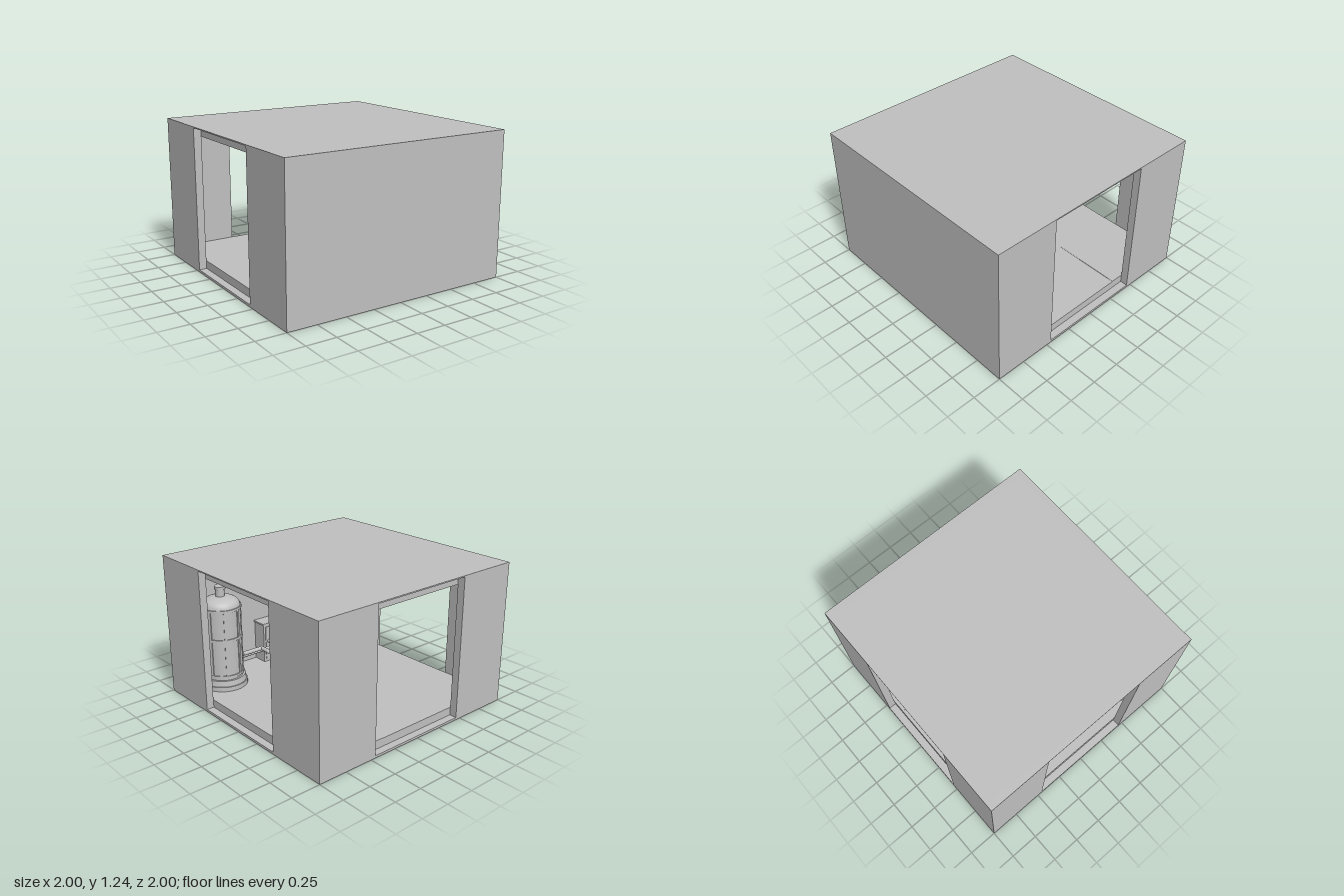
import * as THREE from 'three';

export function createModel() {
  const root = new THREE.Group();
  const grey = new THREE.MeshStandardMaterial({ color: 0xc0c0c0 });
  grey.name = 'plain grey';

  const H = 1.235, T = 0.065, FLOOR = 0.09, CEIL = 1.15, IN = 1 - T;

  function add(name, geo, x = 0, y = 0, z = 0, parent = root) {
    const m = new THREE.Mesh(geo, grey);
    m.name = name;
    m.position.set(x, y, z);
    parent.add(m);
    return m;
  }
  // box given by its minimum and maximum corners
  function block(name, x0, y0, z0, x1, y1, z1, parent = root) {
    return add(name, new THREE.BoxGeometry(x1 - x0, y1 - y0, z1 - z0),
      (x0 + x1) / 2, (y0 + y1) / 2, (z0 + z1) / 2, parent);
  }
  function rect(C, x0, y0, x1, y1) {
    const s = new C();
    s.moveTo(x0, y0); s.lineTo(x1, y0); s.lineTo(x1, y1); s.lineTo(x0, y1);
    s.closePath();
    return s;
  }
  // round pipe through straight segments
  function pipe(name, points, r, parent = root) {
    const path = new THREE.CurvePath();
    const v = points.map(p => new THREE.Vector3(...p));
    for (let i = 1; i < v.length; i++) {
      path.add(new THREE.LineCurve3(v[i - 1], v[i]));
      const len = v[i].distanceTo(v[i - 1]);
      const m = add(name, new THREE.CylinderGeometry(r, r, len, 16), 0, 0, 0, parent);
      m.position.copy(v[i]).add(v[i - 1]).multiplyScalar(0.5);
      m.quaternion.setFromUnitVectors(new THREE.Vector3(0, 1, 0), v[i].clone().sub(v[i - 1]).normalize());
      if (i < v.length - 1) add(name + 'Elbow', new THREE.SphereGeometry(r * 1.1, 14, 10), ...points[i], parent);
    }
  }

  // walls: solid front, and a tall opening in the back and both sides
  block('frontWall', -1, 0, IN, 1, H, 1);
  function openWall(name, half) {
    const s = rect(THREE.Shape, -half, 0, half, H);
    s.holes.push(rect(THREE.Path, -0.455, 0.02, 0.455, 1.225));
    return add(name, new THREE.ExtrudeGeometry(s, { depth: T, bevelEnabled: false }));
  }
  openWall('backWall', 1).position.z = -1;
  for (const s of [-1, 1]) {
    const w = openWall(s > 0 ? 'leftWall' : 'rightWall', IN);
    w.rotation.y = Math.PI / 2;
    w.position.x = s > 0 ? IN : -1;
  }

  // floor, ceiling and the raised floor plate in the back corner
  block('floor', -IN, 0, -IN, IN, FLOOR, IN);
  block('ceiling', -IN, CEIL, -IN, IN, H, IN);
  block('floorPlate', 0.334, FLOOR, -IN, IN, FLOOR + 0.003, -0.34);

  // framed ceiling lights
  function light(x0, z0, x1, z1) {
    const g = new THREE.Group();
    g.name = 'ceilingLight';
    const s = rect(THREE.Shape, x0, z0, x1, z1), b = 0.022;
    s.holes.push(rect(THREE.Path, x0 + b, z0 + b, x1 - b, z1 - b));
    const f = add('lightFrame', new THREE.ExtrudeGeometry(s, { depth: 0.022, bevelEnabled: false }), 0, CEIL, 0, g);
    f.rotation.x = Math.PI / 2;
    block('lightPanel', x0 + b, CEIL - 0.008, z0 + b, x1 - b, CEIL, z1 - b, g);
    root.add(g);
  }
  light(-0.285, -0.576, 0.285, -0.41);
  light(-0.535, -0.29, -0.37, 0.27);
  light(0.37, -0.29, 0.535, 0.27);
  light(-0.082, 0.1, 0.082, 0.67);

  // two upright tanks with stepped foot, domed lid, straps and hoops
  function tank(side) {
    const g = new THREE.Group();
    g.name = side > 0 ? 'leftTank' : 'rightTank';
    g.position.set(side * 0.67, FLOOR, 0.68);
    add('tankFoot', new THREE.CylinderGeometry(0.2, 0.2, 0.04, 40), 0, 0.02, 0, g);
    add('tankPlinth', new THREE.CylinderGeometry(0.183, 0.19, 0.05, 40), 0, 0.065, 0, g);
    add('tankBody', new THREE.CylinderGeometry(0.165, 0.165, 0.64, 40), 0, 0.4, 0, g);
    const dome = [[0.165, 0], [0.155, 0.03], [0.13, 0.055], [0.09, 0.072], [0.045, 0.08], [0, 0.082]];
    add('tankDome', new THREE.LatheGeometry(
      new THREE.SplineCurve(dome.map(p => new THREE.Vector2(...p))).getPoints(14), 40), 0, 0.72, 0, g);
    add('tankNeck', new THREE.CylinderGeometry(0.038, 0.038, 0.1, 24), 0, 0.83, 0, g);
    add('tankCap', new THREE.CylinderGeometry(0.047, 0.047, 0.025, 24), 0, 0.875, 0, g);
    for (const y of [0.12, 0.45, 0.71])
      add('tankHoop', new THREE.CylinderGeometry(0.174, 0.174, 0.022, 40), 0, y, 0, g);
    for (let i = 0; i < 8; i++) {
      const a = (i + 0.5) * Math.PI / 4;
      const m = add('tankStrap', new THREE.BoxGeometry(0.022, 0.6, 0.012),
        Math.sin(a) * 0.166, 0.41, Math.cos(a) * 0.166, g);
      m.rotation.y = a;
    }
    root.add(g);
    // feed pipes between the tank and the middle
    pipe('feedPipe', [[side * 0.52, 0.34, 0.6], [side * 0.32, 0.34, 0.6], [side * 0.32, 0.34, 0.5], [0, 0.34, 0.5]], 0.018);
    pipe('returnPipe', [[side * 0.52, 0.29, 0.66], [side * 0.1, 0.29, 0.66], [side * 0.1, 0.29, 0.82]], 0.016);
  }
  tank(1);
  tank(-1);

  // control cabinet on the front wall
  block('cabinet', -0.15, FLOOR, 0.8, 0.15, 0.45, IN);
  block('cabinetLid', -0.16, 0.45, 0.79, 0.16, 0.465, IN);
  block('cabinetDoor', -0.13, 0.12, 0.793, 0.13, 0.43, 0.8);

  // pump unit in the middle, with its outlet duct and support post
  block('pumpBase', -0.075, FLOOR, 0.13, 0.075, 0.19, 0.275);
  block('pumpHousing', -0.08, 0.19, 0.12, 0.08, 0.385, 0.28);
  block('pumpDuct', -0.03, 0.31, 0.28, 0.03, 0.355, 0.52);
  block('ductFlange', -0.04, 0.305, 0.28, 0.04, 0.34, 0.296);
  add('ductPost', new THREE.CylinderGeometry(0.007, 0.007, 0.22, 12), 0, FLOOR + 0.11, 0.31);
  return root;
}
